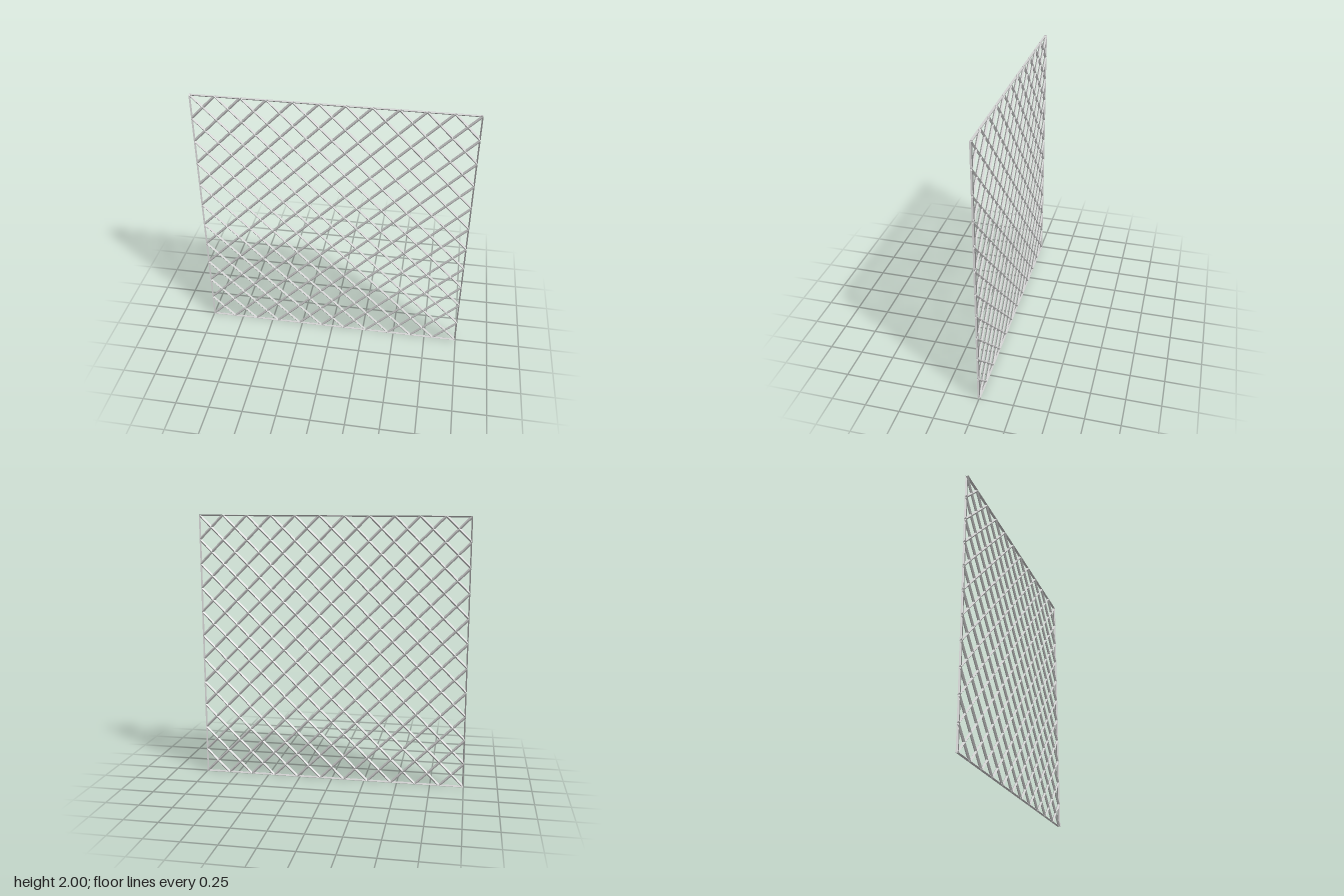
import * as THREE from 'three';

const R = 0.01;      // rod radius
const CELLS = 11;    // mesh cells along each side
const SIDES = 4;     // diamond section with a ridge at front and back

// Moves the two ends of an upright tube so that each vertex ends at +-halfLength(x)
function trimEnds(geometry, halfLength) {
  const p = geometry.attributes.position;
  for (let i = 0; i < p.count; i++) {
    p.setY(i, Math.sign(p.getY(i)) * halfLength(p.getX(i)));
  }
  return geometry;
}

export function createModel() {
  const model = new THREE.Group();
  model.name = 'latticePanel';
  const panel = new THREE.Group();
  panel.name = 'panel';
  panel.position.y = 1;
  model.add(panel);

  const material = new THREE.MeshStandardMaterial({
    color: 0xcccccc, flatShading: true, side: THREE.DoubleSide,
  });

  // Frame: four open V-shaped rails with mitred corners, hollow side outward
  const railGeometry = new THREE.CylinderGeometry(R, R, 1, SIDES / 2, 1, true, Math.PI, Math.PI);
  railGeometry.translate(1, 0, 0);
  trimEnds(railGeometry, (x) => x);
  ['leftRail', 'topRail', 'rightRail', 'bottomRail'].forEach((name, i) => {
    const rail = new THREE.Mesh(railGeometry, material);
    rail.name = name;
    rail.rotation.z = i * Math.PI / 2;
    panel.add(rail);
  });

  // Diagonal rods in both directions, cut flush with the edges of the square
  const step = 2 / CELLS / Math.SQRT2;
  for (const [name, angle] of [['risingRods', -Math.PI / 4], ['fallingRods', -3 * Math.PI / 4]]) {
    const rods = new THREE.Group();
    rods.name = name;
    rods.rotation.z = angle;
    for (let k = 1 - CELLS; k < CELLS; k++) {
      const geometry = new THREE.CylinderGeometry(R, R, 1, SIDES, 1, true);
      geometry.translate(k * step, 0, 0);
      trimEnds(geometry, (x) => Math.SQRT2 - Math.abs(x));
      const rod = new THREE.Mesh(geometry, material);
      rod.name = 'diagonalRod';
      rods.add(rod);
    }
    panel.add(rods);
  }
  return model;
}
